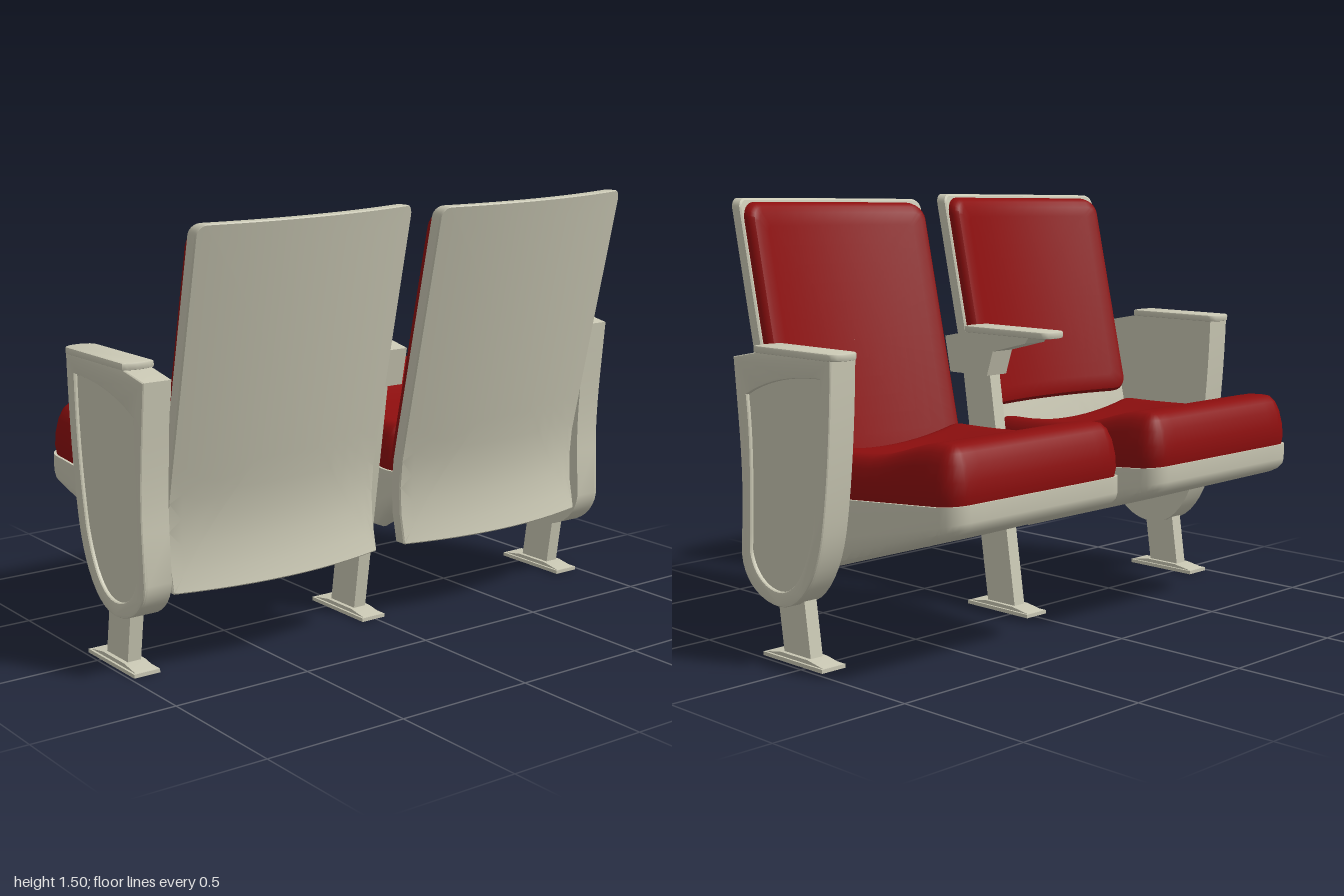
import * as THREE from 'three';
import { toCreasedNormals } from 'three/addons/utils/BufferGeometryUtils.js';

const shellMat = new THREE.MeshStandardMaterial({ color: 0xcac8b4 });
const redMat = new THREE.MeshStandardMaterial({ color: 0x8c0e0e });
const { smoothstep } = THREE.MathUtils;

function add(parent, name, geo, mat = shellMat) {
  const m = new THREE.Mesh(geo, mat);
  m.name = name;
  parent.add(m);
  return m;
}

// Counter-clockwise rounded rectangle with subdivided sides; rt / rb = top / bottom corner radius
function roundedRect(hw, hh, rt, rb) {
  const arcs = [[1, 1, rt, 0], [-1, 1, rt, 1], [-1, -1, rb, 2], [1, -1, rb, 3]].map(([sx, sy, r, q]) => {
    const a = [];
    for (let i = 0; i <= 6; i++) {
      const t = (q + i / 6) * Math.PI / 2;
      a.push([sx * (hw - r) + r * Math.cos(t), sy * (hh - r) + r * Math.sin(t)]);
    }
    return a;
  });
  const out = [];
  arcs.forEach((arc, k) => {
    out.push(...arc);
    const p = arc[6], n = arcs[(k + 1) % 4][0];
    for (let i = 1; i < 12; i++) out.push([p[0] + (n[0] - p[0]) * i / 12, p[1] + (n[1] - p[1]) * i / 12]);
  });
  return out;
}

// Closed slab of concentric rings. Each edge ring is [inset, w]; map bends (u, v, w) into space
function pillow(hw, hh, rt, rb, edge, map, crease = 0.6) {
  const steps = [0.001, 0.15, 0.3, 0.45, 0.6, 0.75, 0.9];
  const first = edge[0], last = edge[edge.length - 1];
  const rings = [
    ...steps.map(s => [...first, s]),
    ...edge.map(e => [...e, 1]),
    ...steps.slice().reverse().map(s => [...last, s]),
  ];
  const pos = [], idx = [];
  let n = 0;
  rings.forEach(([inset, w, s], i) => {
    const o = roundedRect(hw - inset, hh - inset, Math.max(rt - inset, 0.004), Math.max(rb - inset, 0.004));
    n = o.length;
    o.forEach(([u, v], j) => {
      pos.push(...map(u * s, v * s, w));
      if (i === 0) return;
      const a = (i - 1) * n + j, b = (i - 1) * n + (j + 1) % n;
      idx.push(a, b, b + n, a, b + n, a + n);
    });
  });
  const g = new THREE.BufferGeometry();
  g.setAttribute('position', new THREE.Float32BufferAttribute(pos, 3));
  g.setIndex(idx);
  return toCreasedNormals(g, crease);
}

// Side profile in (z, y), extruded from x0 to x1
function slab(shape, x0, x1, opts = {}) {
  const g = new THREE.ExtrudeGeometry(shape, { depth: x1 - x0, bevelEnabled: false, curveSegments: 10, ...opts });
  g.rotateY(-Math.PI / 2).translate(x1, 0, 0);
  return toCreasedNormals(g, 0.5);
}
const poly = pts => new THREE.Shape(pts.map(p => new THREE.Vector2(...p)));

// Backrest: raked line with a reversed curve at the foot, bowed across its width
const backZ = y => 0.575 + 0.245 * (y - 1.49) + (y < 0.62 ? 0.78 * (0.62 - y) ** 2 : 0);
function backPanel(hw, y0, y1, rt, rb, edge, front) {
  const yc = (y0 + y1) / 2;
  return pillow(hw, (y1 - y0) / 2, rt, rb, edge, (u, v, w) => {
    const y = yc + v;
    return [
      u - 0.017 * (y - 0.89),
      y + 0.02 * u * (y - 0.285) / 1.2,
      backZ(y) - 0.06 * (u / 0.41) ** 2 - front + w,
    ];
  });
}

function makeBack(x, padBottom) {
  const g = new THREE.Group();
  g.name = 'backrest';
  g.position.x = x;
  add(g, 'backShell', backPanel(0.411, 0.285, 1.493, 0.035, 0.006,
    [[0.006, 0], [0, 0.006], [0, 0.046], [0.004, 0.05]], 0.05));
  add(g, 'backPad', backPanel(0.4, padBottom, 1.48, 0.06, 0.06,
    [[0.035, 0], [0.015, 0.007], [0.004, 0.02], [0, 0.035], [0, 0.052]], 0.1), redMat);
  return g;
}

// Seat: wedge-shaped pan under a hollowed cushion
const panTop = z => 0.555 - (z + 0.135) * 0.08;
const panBottom = z => Math.max(0.485 - (z + 0.53) * 0.32, 0.285 + (z - 0.1) * 0.9);
const cushionTop = (u, z) => 0.71 + 0.06 * smoothstep(-z, 0.15, 0.48)
  - 0.06 * (1 - (u / 0.4) ** 2) * smoothstep(z, -0.45, 0.1);
const seatZ = -0.163;

function makeSeat(x) {
  const g = new THREE.Group();
  g.name = 'seat';
  g.position.x = x;
  add(g, 'seatPan', pillow(0.402, 0.413, 0.08, 0.08,
    [[0.05, 0], [0.022, 0.06], [0.005, 0.2], [0, 0.4], [0, 1]], (u, v, w) => {
      const z = seatZ - v, b = panBottom(z);
      return [u, b + (panTop(z) - b) * w, z];
    }));
  add(g, 'seatCushion', pillow(0.4, 0.411, 0.08, 0.08,
    [[0.008, 0], [0.003, 0.15], [0.006, 0.4], [0.018, 0.68], [0.035, 0.87], [0.055, 0.97], [0.08, 1]], (u, v, w) => {
      const z = seatZ - v, b = panTop(z);
      return [u, b + (cushionTop(u, z) - b) * w, z];
    }, 1), redMat);
  return g;
}

// Arm cap, rounded at the forward end
function capGeometry() {
  const s = new THREE.Shape();
  const w = 0.057;
  s.moveTo(-w, -0.215);
  s.quadraticCurveTo(0, -0.238, w, -0.215);
  s.lineTo(w, 0.15);
  s.bezierCurveTo(w, 0.2, -w, 0.2, -w, 0.15);
  const g = new THREE.ExtrudeGeometry(s, {
    depth: 0.014, bevelThickness: 0.005, bevelSize: 0.005, bevelOffset: -0.005, bevelSegments: 2, curveSegments: 14,
  });
  g.rotateX(-Math.PI / 2).translate(0, 1.016, 0);
  return toCreasedNormals(g, 0.5);
}

// Slanted leg with a two-step foot plate
function makeLeg(x, top) {
  const g = new THREE.Group();
  g.name = 'leg';
  g.position.x = x;
  const lean = 0.15 * (top - 0.02);
  add(g, 'post', slab(poly([[0, 0.02], [0.137, 0.02], [0.137 + lean, top], [lean, top]]), -0.025, 0.025));
  add(g, 'footPlate', new THREE.BoxGeometry(0.097, 0.013, 0.305).translate(0, 0.0065, 0.0675));
  add(g, 'footRidge', slab(poly([[-0.08, 0.013], [0.215, 0.013], [0.14, 0.026], [0, 0.026]]), -0.04, 0.04));
  return g;
}

// Outer end panel with a raised rim around a sunken field
function panelShape() {
  const s = new THREE.Shape();
  s.moveTo(0.333, 0.99);
  s.bezierCurveTo(0.315, 0.8, 0.295, 0.65, 0.303, 0.5);
  s.lineTo(0.312, 0.33);
  s.bezierCurveTo(0.3, 0.23, 0.2, 0.185, 0.12, 0.185);
  s.bezierCurveTo(0, 0.185, -0.08, 0.31, -0.11, 0.45);
  s.bezierCurveTo(-0.14, 0.6, -0.158, 0.8, -0.165, 1.015);
  s.lineTo(0.2, 1.015);
  return s;
}
function fieldHole() {
  const p = new THREE.Path();
  p.moveTo(0.267, 0.87);
  p.bezierCurveTo(0.15, 0.93, 0.02, 0.95, -0.113, 0.952);
  p.bezierCurveTo(-0.11, 0.75, -0.09, 0.6, -0.06, 0.45);
  p.bezierCurveTo(-0.02, 0.31, 0.04, 0.235, 0.12, 0.235);
  p.bezierCurveTo(0.19, 0.235, 0.25, 0.28, 0.264, 0.35);
  p.bezierCurveTo(0.255, 0.55, 0.245, 0.7, 0.267, 0.87);
  return p;
}

function makeEnd(side) {
  const g = new THREE.Group();
  g.name = side > 0 ? 'leftEnd' : 'rightEnd';
  const span = (a, b) => (side > 0 ? [a, b] : [-b, -a]);
  add(g, 'endPanel', slab(panelShape(), ...span(0.893, 0.982)));
  const rim = panelShape();
  rim.holes.push(fieldHole());
  add(g, 'panelRim', slab(rim, ...span(0.982, 0.99), {
    bevelEnabled: true, bevelThickness: 0.006, bevelSize: 0.008, bevelOffset: -0.008, bevelSegments: 2,
  }));
  add(g, 'armCap', capGeometry()).position.x = side * 0.942;
  return g;
}

export function createModel() {
  const model = new THREE.Group();
  model.name = 'seatRow';

  // Two tip-up seats
  model.add(makeSeat(-0.47), makeSeat(0.468));
  model.add(makeBack(-0.485, 0.71), makeBack(0.458, 0.53));

  // Outer ends
  model.add(makeEnd(-1), makeEnd(1), makeLeg(-0.938, 0.24), makeLeg(0.933, 0.24));

  // Shared middle arm on its tall post
  const middle = new THREE.Group();
  middle.name = 'middleArm';
  middle.add(makeLeg(-0.01, 0.9));
  add(middle, 'armBlock', slab(
    poly([[0.3, 0.86], [0.327, 0.99], [0.2, 1.015], [-0.1, 1.015], [-0.08, 0.99], [0.08, 0.95], [0.11, 0.86]]),
    -0.052, 0.046));
  add(middle, 'armCap', capGeometry()).position.x = -0.003;
  model.add(middle);

  return model;
}
